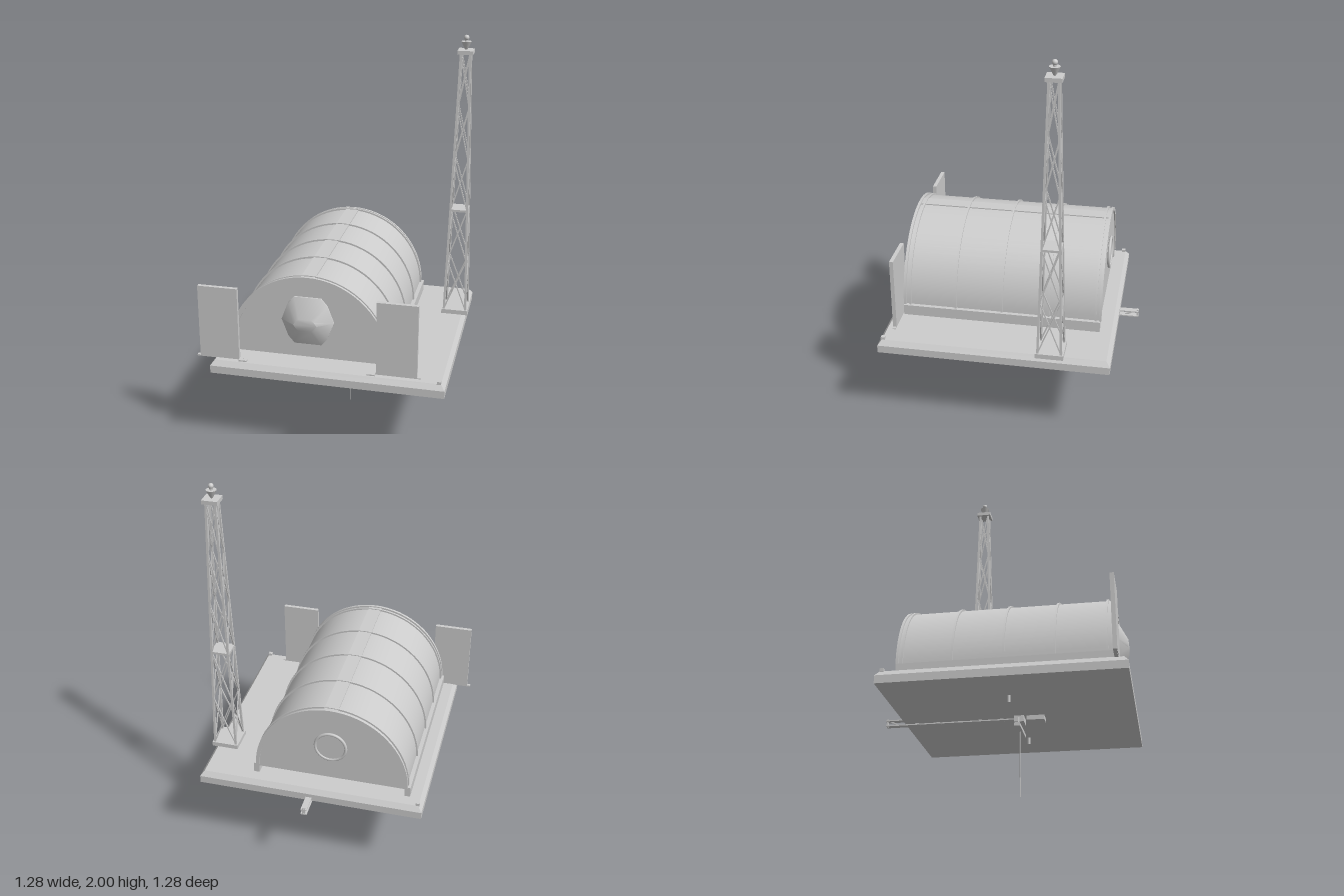
import * as THREE from 'three';
import { toCreasedNormals } from 'three/addons/utils/BufferGeometryUtils.js';

export function createModel() {
  const root = new THREE.Group();
  root.name = 'hangarPlatform';
  const grey = new THREE.MeshStandardMaterial({ color: 0xcccccc, side: THREE.DoubleSide });
  grey.name = 'light grey';

  const add = (name, geo, x = 0, y = 0, z = 0, parent = root) => {
    const m = new THREE.Mesh(geo, grey);
    m.name = name;
    m.position.set(x, y, z);
    parent.add(m);
    return m;
  };
  // box given by its min and max on each axis
  const box = (name, x0, x1, y0, y1, z0, z1, parent = root) =>
    add(name, new THREE.BoxGeometry(x1 - x0, y1 - y0, z1 - z0), (x0 + x1) / 2, (y0 + y1) / 2, (z0 + z1) / 2, parent);
  // square bar between two points
  const UP = new THREE.Vector3(0, 1, 0);
  const bar = (name, a, b, w, parent = root) => {
    const m = add(name, new THREE.BoxGeometry(w, a.distanceTo(b), w), 0, 0, 0, parent);
    m.position.copy(a).lerp(b, 0.5);
    m.quaternion.setFromUnitVectors(UP, b.clone().sub(a).normalize());
  };

  // slab with a bevelled upper edge
  box('slab', -0.56, 0.625, 0.41, 0.45, -0.545, 0.64);
  const bevel = new THREE.BoxGeometry(1.185, 0.026, 1.185);
  const bp = bevel.attributes.position;
  for (let i = 0; i < bp.count; i++) {
    if (bp.getY(i) > 0) bp.setXYZ(i, bp.getX(i) * 0.966, bp.getY(i), bp.getZ(i) * 0.966);
  }
  bevel.computeVertexNormals();
  add('slabBevel', bevel, 0.0325, 0.463, 0.0475);
  box('cornerStud', -0.545, -0.525, 0.475, 0.49, -0.525, -0.505);
  box('cornerStud', 0.585, 0.605, 0.475, 0.49, 0.605, 0.625);

  // barrel hangar, slightly narrower than a half circle
  const CX = -0.068, SPRING = 0.53;
  const arch = (name, rOut, rIn, z0, z1) => {
    const s = new THREE.Shape();
    s.absarc(0, 0, rOut, 0, Math.PI, false);
    if (rIn) s.absarc(0, 0, rIn, Math.PI, 0, true);
    else { s.lineTo(-rOut, -0.012); s.lineTo(rOut, -0.012); }
    s.closePath();
    const g = new THREE.ExtrudeGeometry(s, { depth: z1 - z0, bevelEnabled: false, curveSegments: 18 });
    g.scale(0.97, 1, 1);
    return add(name, toCreasedNormals(g, 0.5), CX, SPRING, z0);
  };
  arch('shell', 0.41, 0.398, -0.465, 0.57);
  arch('frontWall', 0.4, 0, 0.55, 0.562);
  arch('backWall', 0.4, 0, -0.462, -0.45);
  for (const z of [-0.44, -0.197, 0.05, 0.295, 0.54]) arch('rib', 0.419, 0.405, z - 0.005, z + 0.005);
  arch('frontRim', 0.42, 0.395, 0.56, 0.574);
  arch('backRim', 0.417, 0.397, -0.47, -0.458);
  box('ridgeStrip', CX - 0.036, CX + 0.036, 0.932, 0.944, -0.465, 0.57);
  for (const s of [-1, 1]) {
    const x = CX + s * 0.403;
    box('sideCurb', x - 0.015, x + 0.015, 0.475, 0.532, -0.465, 0.572);
  }

  // faceted nose on the front wall: outer ring tapering to a small front face
  const half = [[0.132, 0], [0.1, 0.087], [0.068, 0.125]];
  const outline = [
    ...half,
    ...half.slice().reverse().map(([x, y]) => [-x, y]),
    ...half.slice(1).map(([x, y]) => [-x, -y]),
    ...half.slice(1).reverse().map(([x, y]) => [x, -y]),
  ];
  const n = outline.length, verts = [], idx = [];
  for (const [kx, ky, z] of [[1, 1, 0], [1, 1, 0.008], [0.44, 0.25, 0.062]]) {
    for (const [x, y] of outline) verts.push(x * kx, y * ky, z);
  }
  for (let r = 0; r < 2; r++) {
    for (let i = 0; i < n; i++) {
      const a = r * n + i, b = r * n + (i + 1) % n;
      idx.push(a, b, b + n, a, b + n, a + n);
    }
  }
  for (let i = 1; i < n - 1; i++) idx.push(2 * n, 2 * n + i, 2 * n + i + 1);
  const nose = new THREE.BufferGeometry();
  nose.setAttribute('position', new THREE.Float32BufferAttribute(verts, 3));
  nose.setIndex(idx);
  add('noseCover', toCreasedNormals(nose, 0.7), CX, 0.717, 0.562);

  // round hatch on the back wall
  const hatch = add('backHatch', new THREE.CylinderGeometry(0.075, 0.075, 0.012, 32), CX, 0.722, -0.467);
  hatch.rotation.x = Math.PI / 2;
  add('backHatchRing', new THREE.TorusGeometry(0.08, 0.008, 8, 32), CX, 0.722, -0.471);

  // sliding doors, parked open
  for (const s of [-1, 1]) {
    const x = -0.07 + s * 0.452;
    box('slidingDoor', x - 0.102, x + 0.102, 0.48, 0.863, 0.575, 0.595);
    box('doorTrack', x - 0.12, x + 0.12, 0.474, 0.481, 0.577, 0.593);
    box('doorStop', x - s * 0.125 - 0.02, x - s * 0.125 + 0.02, 0.475, 0.483, 0.595, 0.612);
  }

  // lattice tower
  const tower = new THREE.Group();
  tower.name = 'latticeTower';
  tower.position.set(0.565, 0, -0.243);
  root.add(tower);
  const deck = (name, h, y0, y1) => box(name, -h, h, y0, y1, -h, h, tower);
  deck('towerFoot', 0.071, 0.475, 0.5);
  deck('towerMidDeck', 0.049, 1.064, 1.076);
  deck('towerTopDeck', 0.04, 1.905, 1.925);
  const levels = [0.5, 0.785, 1.07, 1.35, 1.63, 1.91];
  const corner = (k, y) => {
    const h = 0.059 - (y - 0.5) * 0.0255;
    const a = Math.PI / 4 + k * Math.PI / 2;
    return new THREE.Vector3(Math.cos(a) * h * Math.SQRT2, y, Math.sin(a) * h * Math.SQRT2);
  };
  for (let k = 0; k < 4; k++) {
    bar('towerLeg', corner(k, 0.5), corner(k, 1.91), 0.011, tower);
    for (let i = 0; i < levels.length - 1; i++) {
      bar('towerBrace', corner(k, levels[i]), corner(k + 1, levels[i + 1]), 0.006, tower);
      bar('towerBrace', corner(k + 1, levels[i]), corner(k, levels[i + 1]), 0.006, tower);
    }
  }
  add('finialCone', new THREE.CylinderGeometry(0.027, 0.006, 0.042, 12), 0, 1.946, 0, tower);
  add('finialNeck', new THREE.CylinderGeometry(0.009, 0.009, 0.014, 8), 0, 1.97, 0, tower);
  add('finialBall', new THREE.SphereGeometry(0.014, 12, 8), 0, 1.986, 0, tower);

  // boom running out under the back edge
  const BX = 0.031;
  box('boomLowerChord', BX - 0.016, BX + 0.016, 0.397, 0.403, -0.645, 0.06);
  box('boomUpperChord', BX - 0.016, BX + 0.016, 0.424, 0.43, -0.645, -0.5);
  box('boomEnd', BX - 0.008, BX + 0.008, 0.395, 0.438, -0.643, -0.635);
  for (let z = -0.6; z < 0.05; z += 0.11) {
    bar('boomBrace', new THREE.Vector3(BX, 0.4, z + 0.025), new THREE.Vector3(BX, 0.427, z - 0.025), 0.008);
  }

  // winch, crossbar and cable hanging below
  box('winchBox', BX - 0.03, BX + 0.03, 0.387, 0.412, 0.09, 0.18);
  box('trolley', BX - 0.037, BX + 0.037, 0.378, 0.412, 0.027, 0.077);
  box('crossbar', BX - 0.102, BX + 0.102, 0.335, 0.352, 0.037, 0.067);
  box('crossbarCap', BX - 0.06, BX + 0.06, 0.352, 0.361, 0.042, 0.062);
  for (const s of [-1, 1]) {
    bar('hangerLink', new THREE.Vector3(BX + s * 0.045, 0.355, 0.052), new THREE.Vector3(BX + s * 0.034, 0.4, 0.052), 0.006);
    add('dockingPeg', new THREE.CylinderGeometry(0.008, 0.008, 0.04, 10), BX + s * 0.33, 0.394, 0.05);
  }
  add('cable', new THREE.CylinderGeometry(0.0025, 0.0025, 0.34, 6), BX, 0.17, 0.052);

  return root;
}
